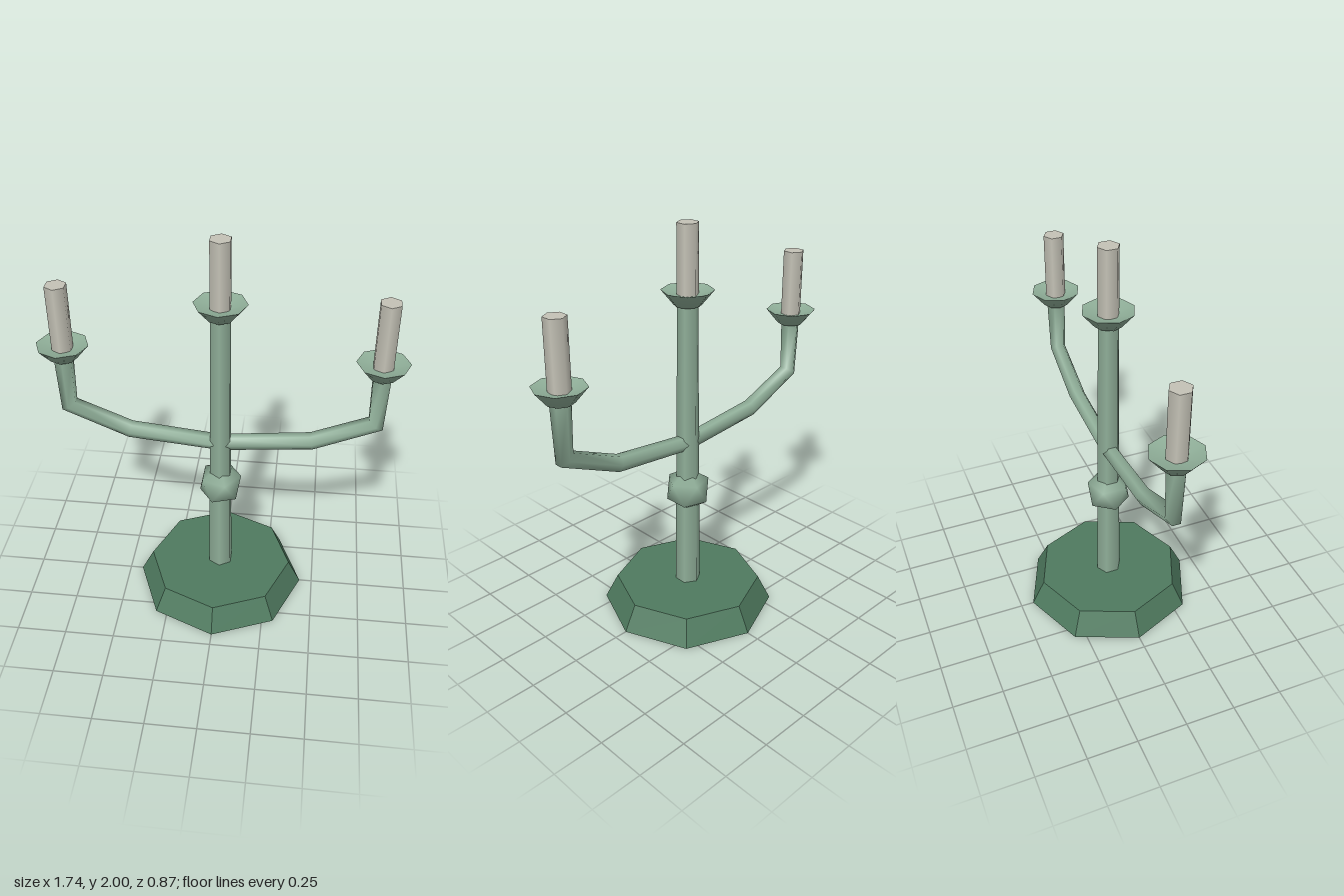
import * as THREE from 'three';
import { mergeVertices, toCreasedNormals } from 'three/addons/utils/BufferGeometryUtils.js';

const baseMat = new THREE.MeshStandardMaterial({ color: 0x4f7a5f, flatShading: true });
const metalMat = new THREE.MeshStandardMaterial({ color: 0x8fae98 });
const candleMat = new THREE.MeshStandardMaterial({ color: 0xc4c2b6 });

function part(name, geometry, material, x = 0, y = 0) {
  const mesh = new THREE.Mesh(geometry, material);
  mesh.name = name;
  mesh.position.set(x, y, 0);
  return mesh;
}

// Hexagonal tube along a path in the xy plane, with mitred joints
function mitredTube(path, sides = 6) {
  const dir = (a, b) => new THREE.Vector2(b[0] - a[0], b[1] - a[1]).normalize();
  const pos = [], index = [];
  path.forEach(([x, y, r], i) => {
    const before = dir(path[Math.max(i - 1, 0)], path[Math.max(i, 1)]);
    const last = path.length - 1;
    const after = dir(path[Math.min(i, last - 1)], path[Math.min(i + 1, last)]);
    const t = before.clone().add(after).normalize();
    const miter = 1 / t.dot(before);
    for (let j = 0; j < sides; j++) {
      const a = (j / sides) * Math.PI * 2;
      const n = Math.sin(a) * r * miter;
      pos.push(x - t.y * n, y + t.x * n, Math.cos(a) * r);
      if (i < last) {
        const p = i * sides + j, q = i * sides + ((j + 1) % sides);
        index.push(p, p + sides, q, q, p + sides, q + sides);
      }
    }
  });
  const g = new THREE.BufferGeometry();
  g.setAttribute('position', new THREE.Float32BufferAttribute(pos, 3));
  g.setIndex(index);
  g.computeVertexNormals();
  return g;
}

// Drip cup with its candle; y is the underside of the cup
function holder(name, x, y, top) {
  const group = new THREE.Group();
  group.name = name;
  const profile = [[0, 0], [0.065, 0], [0.125, 0.072], [0.045, 0.05], [0, 0.05]]
    .map(([r, h]) => new THREE.Vector2(r, h));
  const cup = toCreasedNormals(new THREE.LatheGeometry(profile, 8), 1.2);
  group.add(part('dripCup', cup, metalMat, x, y));
  const bottom = y + 0.03;
  const candle = new THREE.CylinderGeometry(0.052, 0.052, top - bottom, 6);
  group.add(part('candle', candle, candleMat, x, (top + bottom) / 2));
  return group;
}

export function createModel() {
  const model = new THREE.Group();
  model.name = 'candelabra';

  // Octagonal foot
  model.add(part('base', new THREE.CylinderGeometry(0.37, 0.435, 0.13, 8), baseMat, 0, 0.065));

  // Tapered central stem
  model.add(part('stem', new THREE.CylinderGeometry(0.05, 0.065, 1.54, 6), metalMat, 0, 0.87));

  // Faceted knob, turned so that one corner points straight up
  let knob = new THREE.IcosahedronGeometry(0.117, 0);
  knob.deleteAttribute('normal');
  knob.deleteAttribute('uv');
  knob = mergeVertices(knob);
  knob.rotateZ(-Math.atan(2 / (1 + Math.sqrt(5))));
  knob.computeVertexNormals();
  model.add(part('knob', knob, metalMat, 0, 0.66));

  // Two bent arms, the second turned half way round
  const armGeo = mitredTube([
    [0, 0.92, 0.04], [0.445, 0.965, 0.042], [0.74, 1.093, 0.04], [0.743, 1.37, 0.048],
  ]);
  ['leftArm', 'rightArm'].forEach((name, i) => {
    const arm = part(name, armGeo, metalMat);
    arm.rotation.y = i * Math.PI;
    model.add(arm);
  });

  // Cups and candles
  model.add(holder('centreHolder', 0, 1.62, 2));
  model.add(holder('leftHolder', 0.743, 1.36, 1.74));
  model.add(holder('rightHolder', -0.743, 1.36, 1.74));
  return model;
}
